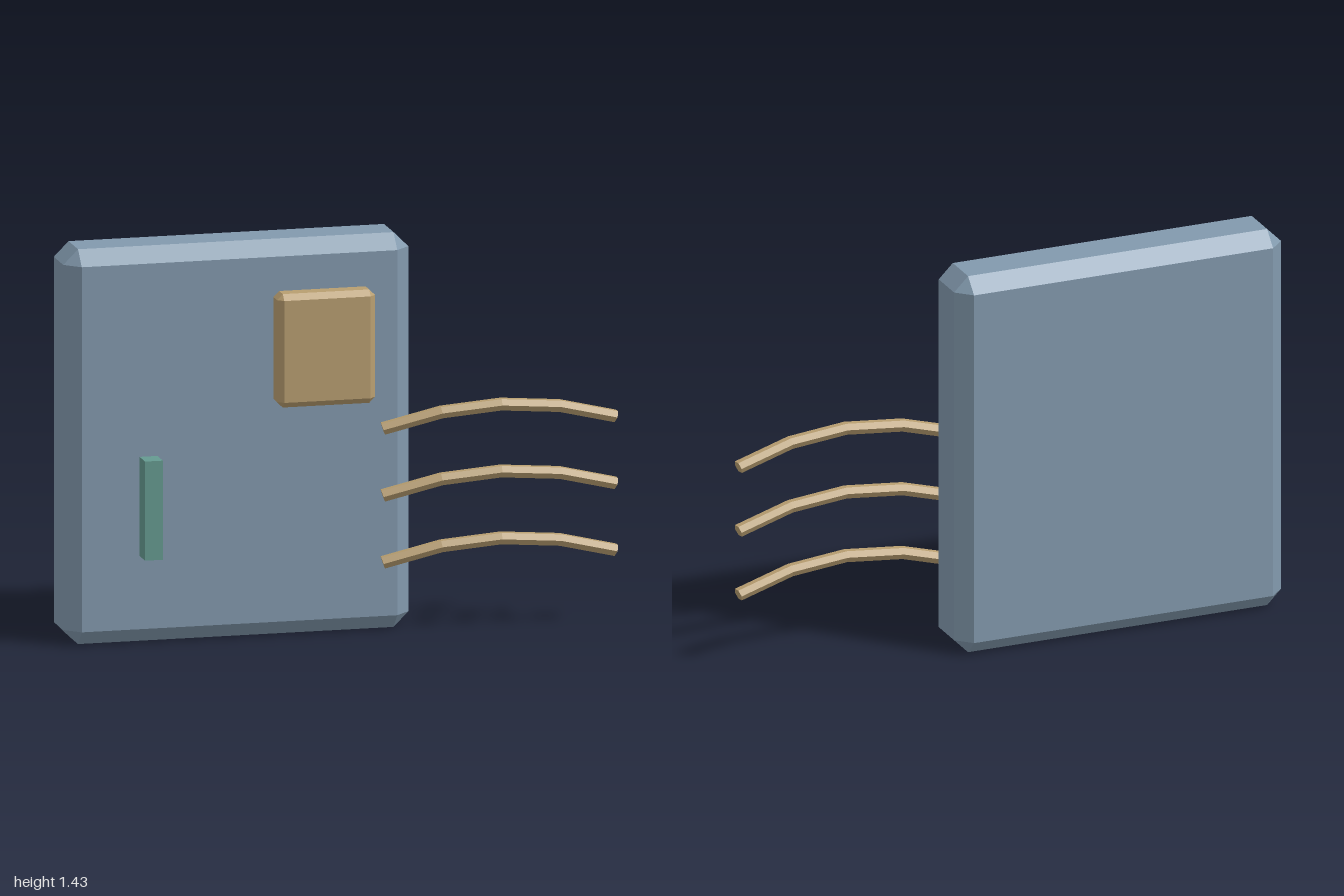
import * as THREE from 'three';
import { mergeGeometries } from 'three/addons/utils/BufferGeometryUtils.js';
import { ConvexGeometry } from 'three/addons/geometries/ConvexGeometry.js';

const slate = new THREE.MeshStandardMaterial({ color: 0x8299ad });
slate.name = 'slate blue';
const tan = new THREE.MeshStandardMaterial({ color: 0xb89e70 });
tan.name = 'tan';
const green = new THREE.MeshStandardMaterial({ color: 0x659a90 });
green.name = 'sea green';

// Box with every edge cut by a flat chamfer: three points at each corner
function chamferBox(w, h, d, c) {
  const points = [];
  for (const sx of [-1, 1]) for (const sy of [-1, 1]) for (const sz of [-1, 1]) {
    const x = w / 2, y = h / 2, z = d / 2;
    points.push(
      new THREE.Vector3(sx * x, sy * (y - c), sz * (z - c)),
      new THREE.Vector3(sx * (x - c), sy * y, sz * (z - c)),
      new THREE.Vector3(sx * (x - c), sy * (y - c), sz * z));
  }
  return new ConvexGeometry(points);
}

// Arched six-sided wire with closed ends, faceted
function wireGeometry() {
  const curve = new THREE.QuadraticBezierCurve3(
    new THREE.Vector3(0.145, 0, 0.118),
    new THREE.Vector3(0.57, 0.144, 0.174),
    new THREE.Vector3(0.995, 0, 0.118));
  const sides = 6, segments = 4;
  const tube = new THREE.TubeGeometry(curve, segments, 0.024, sides, false);
  const ring = tube.attributes.position;
  const index = Array.from(tube.index.array);
  const last = segments * (sides + 1);
  for (let i = 1; i < sides - 1; i++) {
    index.push(0, i, i + 1, last, last + i + 1, last + i);
  }
  // Check the winding of the start cap, which must face -x
  const [a, b, c] = [0, 1, 2].map(i => new THREE.Vector3().fromBufferAttribute(ring, i));
  if (b.sub(a).cross(c.sub(a)).x > 0) {
    for (let i = segments * sides * 6; i < index.length; i += 3) {
      [index[i + 1], index[i + 2]] = [index[i + 2], index[i + 1]];
    }
  }
  tube.setIndex(index);
  const flat = tube.toNonIndexed();
  flat.computeVertexNormals();
  return mergeGeometries([flat]);
}

export function createModel() {
  const model = new THREE.Group();
  model.name = 'wiredPanel';
  const add = (name, geometry, material, x, y, z) => {
    const mesh = new THREE.Mesh(geometry, material);
    mesh.name = name;
    mesh.position.set(x, y, z);
    model.add(mesh);
  };

  // Main slab, raised block and small upright tab
  add('panelBody', chamferBox(1.262, 1.434, 0.246, 0.054), slate, -0.369, 0.717, -0.045);
  add('raisedBlock', chamferBox(0.358, 0.412, 0.144, 0.021), tan, -0.066, 1.049, 0.08);
  add('uprightTab', new THREE.BoxGeometry(0.065, 0.36, 0.09), green, -0.702, 0.5, 0.113);

  // Three wires leaving the left edge
  const wire = wireGeometry();
  for (let i = 0; i < 3; i++) add('wire' + (i + 1), wire, tan, 0, 0.744 - i * 0.243, 0);
  return model;
}
